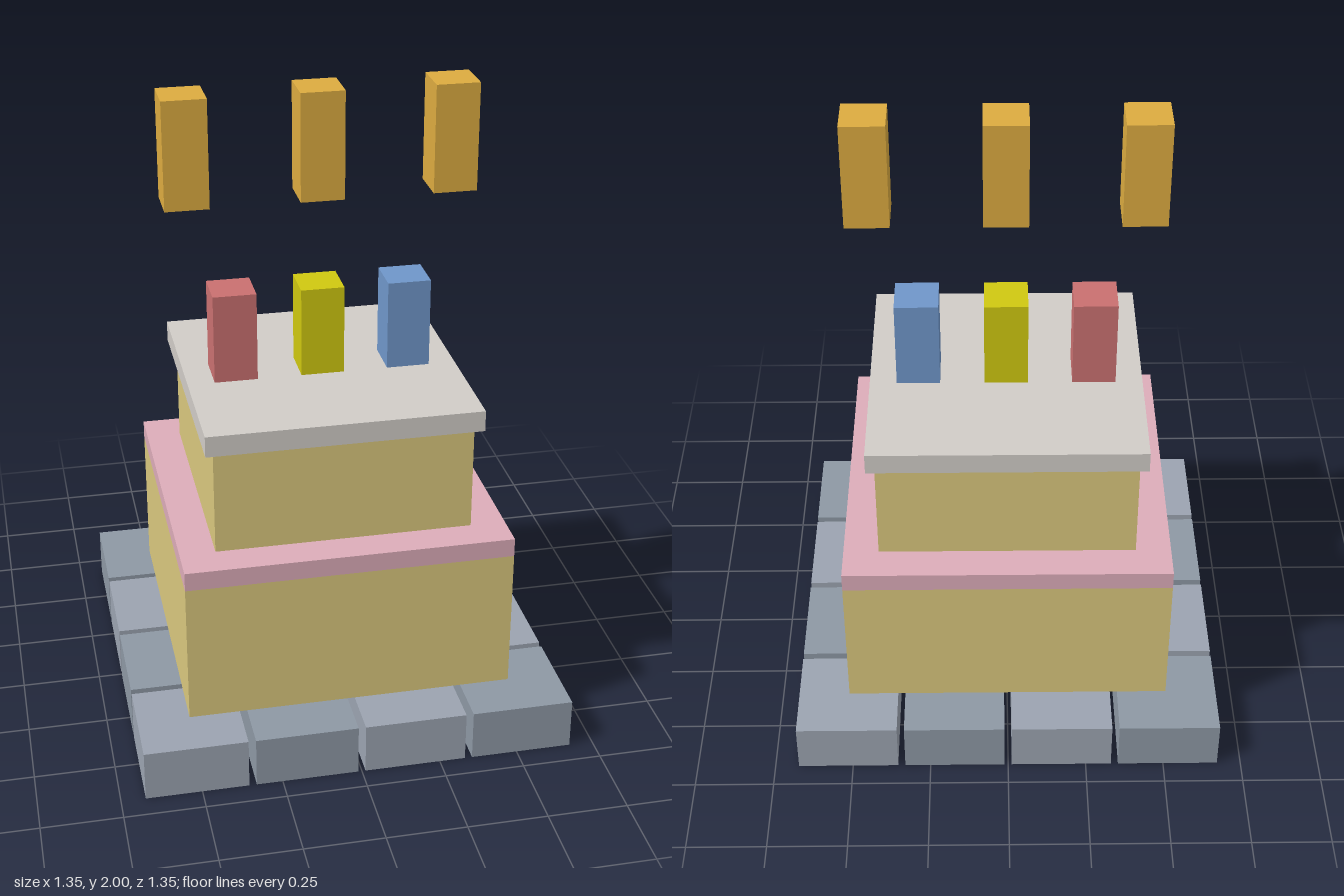
import * as THREE from 'three';

export function createModel() {
  const group = new THREE.Group();

  // Square block standing between two heights
  function block(name, color, width, y0, y1, x = 0, z = 0) {
    const mesh = new THREE.Mesh(
      new THREE.BoxGeometry(width, y1 - y0, width),
      new THREE.MeshStandardMaterial({ color })
    );
    mesh.name = name;
    mesh.position.set(x, (y0 + y1) / 2, z);
    group.add(mesh);
  }

  // Checkered floor of 4 x 4 stone slabs with narrow gaps
  const pitch = 0.343;
  for (let i = 0; i < 4; i++) {
    for (let j = 0; j < 4; j++) {
      const color = (i + j) % 2 ? 0x9ba3b0 : 0x8d98a4;
      block(`baseSlab${i}${j}`, color, 0.32, 0, 0.163, (i - 1.5) * pitch, (j - 1.5) * pitch);
    }
  }

  // Cake tiers with icing
  block('lowerTier', 0xd9c77d, 1.025, 0.163, 0.62);
  block('lowerIcing', 0xdcacb9, 1.025, 0.62, 0.68);
  block('upperTier', 0xd9c77d, 0.804, 0.68, 1.02);
  block('topIcing', 0xd0ccc7, 0.856, 1.02, 1.087);

  // Candles, and the flames floating above them
  [['right', 0xc97070], ['middle', 0xcfc810], ['left', 0x6f96c9]].forEach(([side, color], i) => {
    block(`${side}Candle`, color, 0.136, 1.087, 1.374, (i - 1) * 0.275);
    block(`${side}Flame`, 0xdcab40, 0.136, 1.66, 2, (i - 1) * 0.412);
  });

  return group;
}
